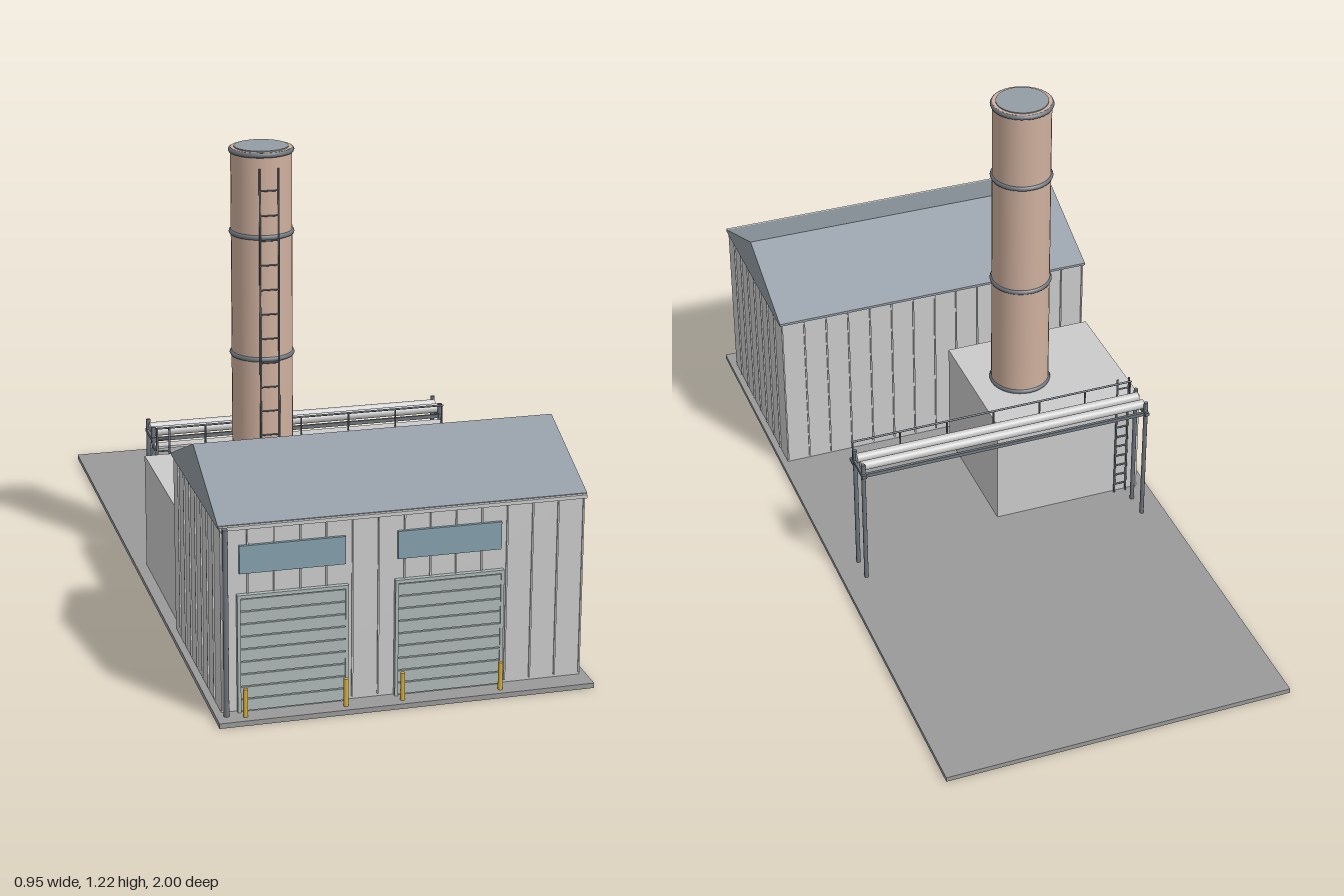
import * as THREE from 'three';

const mat = (color, opts = {}) => new THREE.MeshStandardMaterial({ color, ...opts });

export function createModel() {
  const root = new THREE.Group();
  const M = {
    slab: mat(0x9a9a9a), wall: mat(0xcccccc), roof: mat(0x939ca5), door: mat(0xb0b9b9),
    glass: mat(0x85a0ad), steel: mat(0x6e767d), yellow: mat(0xd8b040), brick: mat(0xcfb09e),
  };
  const group = (name, parent = root) => {
    const g = new THREE.Group();
    g.name = name;
    parent.add(g);
    return g;
  };
  const add = (parent, name, geo, m, x = 0, y = 0, z = 0) => {
    const mesh = new THREE.Mesh(geo, m);
    mesh.name = name;
    mesh.position.set(x, y, z);
    parent.add(mesh);
    return mesh;
  };
  // box given by its two extreme corners
  const box = (parent, name, m, x0, x1, y0, y1, z0, z1) =>
    add(parent, name, new THREE.BoxGeometry(x1 - x0, y1 - y0, z1 - z0), m,
      (x0 + x1) / 2, (y0 + y1) / 2, (z0 + z1) / 2);
  // round bar between two points
  const bar = (parent, name, m, a, b, r, sides = 10) => {
    const p = new THREE.Vector3(...a), q = new THREE.Vector3(...b);
    const d = q.clone().sub(p);
    const mesh = add(parent, name, new THREE.CylinderGeometry(r, r, d.length(), sides), m);
    mesh.position.copy(p).add(q).multiplyScalar(0.5);
    mesh.quaternion.setFromUnitVectors(new THREE.Vector3(0, 1, 0), d.normalize());
    return mesh;
  };
  // ladder facing z
  const ladder = (parent, name, x, z, width, y0, y1, firstRung, step, r) => {
    const g = group(name, parent);
    for (const s of [-1, 1]) bar(g, 'ladderRail', M.steel, [x + s * width / 2, y0, z], [x + s * width / 2, y1, z], r, 8);
    for (let y = firstRung; y < y1 - 0.01; y += step)
      bar(g, 'ladderRung', M.steel, [x - width / 2, y, z], [x + width / 2, y, z], r * 0.8, 8);
  };
  const G = 0.013; // top of the slab

  box(root, 'groundSlab', M.slab, -0.475, 0.475, 0, G, -1, 1);

  // Hall with ribbed cladding
  const hall = group('hall');
  const X = 0.457, Z0 = 0.406, Z1 = 0.938, eave = 0.492;
  box(hall, 'hallWalls', M.wall, -X, X, G, eave, Z0, Z1);
  for (let i = 0; i <= 14; i++) {
    const x = -X + 0.002 + i * (2 * X - 0.004) / 14;
    for (const z of [Z0, Z1]) box(hall, 'claddingRib', M.wall, x - 0.002, x + 0.002, 0.02, 0.486, z - 0.004, z + 0.004);
  }
  for (let i = 1; i < 8; i++) {
    const z = Z0 + i * (Z1 - Z0) / 8;
    for (const x of [-X, X]) box(hall, 'claddingRib', M.wall, x - 0.004, x + 0.004, 0.02, 0.486, z - 0.002, z + 0.002);
  }

  // Gabled roof, a triangular prism along x
  const gable = new THREE.Shape([
    new THREE.Vector2(0.4, 0.488), new THREE.Vector2(0.942, 0.488), new THREE.Vector2(0.942, 0.495),
    new THREE.Vector2(0.671, 0.61), new THREE.Vector2(0.4, 0.495),
  ]);
  const roofGeo = new THREE.ExtrudeGeometry(gable, { depth: 0.924, bevelEnabled: false });
  roofGeo.rotateY(-Math.PI / 2).translate(0.462, 0, 0);
  add(hall, 'gabledRoof', roofGeo, M.roof);

  // Gutter and downpipe
  box(hall, 'gutter', M.wall, -0.46, 0.46, 0.484, 0.493, 0.938, 0.951);
  bar(hall, 'downpipe', M.steel, [-0.449, G, 0.961], [-0.449, 0.492, 0.961], 0.007, 12);
  box(hall, 'downpipeElbow', M.steel, -0.455, -0.443, 0.48, 0.492, 0.94, 0.962);

  // Two roller doors with a window band above and bollards in front
  for (const cx of [-0.28, 0.113]) {
    const bay = group('doorBay', hall);
    const w = 0.131;
    box(bay, 'doorPanel', M.door, cx - w, cx + w, G, 0.31, Z1, 0.945);
    for (let i = 0; i < 9; i++) {
      const y = 0.016 + i * 0.0325;
      box(bay, 'doorSlat', M.door, cx - w, cx + w, y, y + 0.029, Z1, 0.948);
    }
    for (const s of [-1, 1]) {
      box(bay, 'doorJamb', M.door, cx + s * 0.134 - 0.004, cx + s * 0.134 + 0.004, G, 0.317, Z1, 0.951);
      bar(bay, 'bollard', M.yellow, [cx + s * 0.125, G, 0.975], [cx + s * 0.125, 0.085, 0.975], 0.006, 12);
    }
    box(bay, 'doorLintel', M.door, cx - 0.138, cx + 0.138, 0.308, 0.317, Z1, 0.951);
    box(bay, 'windowBand', M.glass, cx - w, cx + w, 0.37, 0.441, Z1, 0.946);
  }

  // Boiler block
  box(root, 'boilerBlock', M.wall, -0.445, -0.02, G, 0.33, -0.053, 0.345);

  // Chimney with steel bands, cap and ladder
  const chimney = group('chimney');
  const cx = -0.162, cz = 0.146;
  add(chimney, 'chimneyShaft', new THREE.CylinderGeometry(0.08, 0.081, 0.89, 32), M.brick, cx, 0.775, cz);
  for (const y of [0.336, 0.667, 0.996, 1.213]) {
    const band = add(chimney, 'chimneyBand', new THREE.TorusGeometry(0.079, 0.007, 8, 32), M.steel, cx, y, cz);
    band.rotation.x = Math.PI / 2;
  }
  add(chimney, 'chimneyCap', new THREE.CylinderGeometry(0.071, 0.071, 0.012, 32), M.roof, cx, 1.217, cz);
  ladder(chimney, 'chimneyLadder', cx, 0.233, 0.05, 0.34, 1.18, 0.396, 0.066, 0.0025);

  // Pipe rack behind the block
  const rack = group('pipeRack');
  const W = 0.41;
  for (const s of [-1, 1]) {
    for (const z of [-0.105, -0.175]) bar(rack, 'rackPost', M.steel, [s * W, G, z], [s * W, 0.393, z], 0.006, 10);
    box(rack, 'crossBeam', M.steel, s * W - 0.006, s * W + 0.006, 0.354, 0.364, -0.187, -0.096);
    box(rack, 'walkwayBracket', M.steel, s * W - 0.004, s * W + 0.004, 0.336, 0.342, -0.105, -0.066);
  }
  for (const z of [-0.118, -0.156]) bar(rack, 'pipe', M.wall, [-W, 0.376, z], [W, 0.376, z], 0.013, 16);
  for (const z of [-0.105, -0.175]) box(rack, 'longBeam', M.steel, -W, W, 0.352, 0.362, z - 0.004, z + 0.004);

  // Walkway with handrail and access ladder
  const walk = group('walkway', rack);
  box(walk, 'walkwayDeck', M.wall, -W, W, 0.341, 0.347, -0.105, -0.07);
  bar(walk, 'handrail', M.steel, [-W, 0.398, -0.073], [W, 0.398, -0.073], 0.0028, 8);
  for (let i = 0; i < 7; i++) {
    const x = -W + 0.004 + i * (2 * W - 0.008) / 6;
    bar(walk, 'railPost', M.steel, [x, 0.345, -0.073], [x, 0.398, -0.073], 0.0025, 8);
  }
  ladder(walk, 'accessLadder', -0.391, -0.06, 0.034, G, 0.403, 0.04, 0.033, 0.003);

  return root;
}
